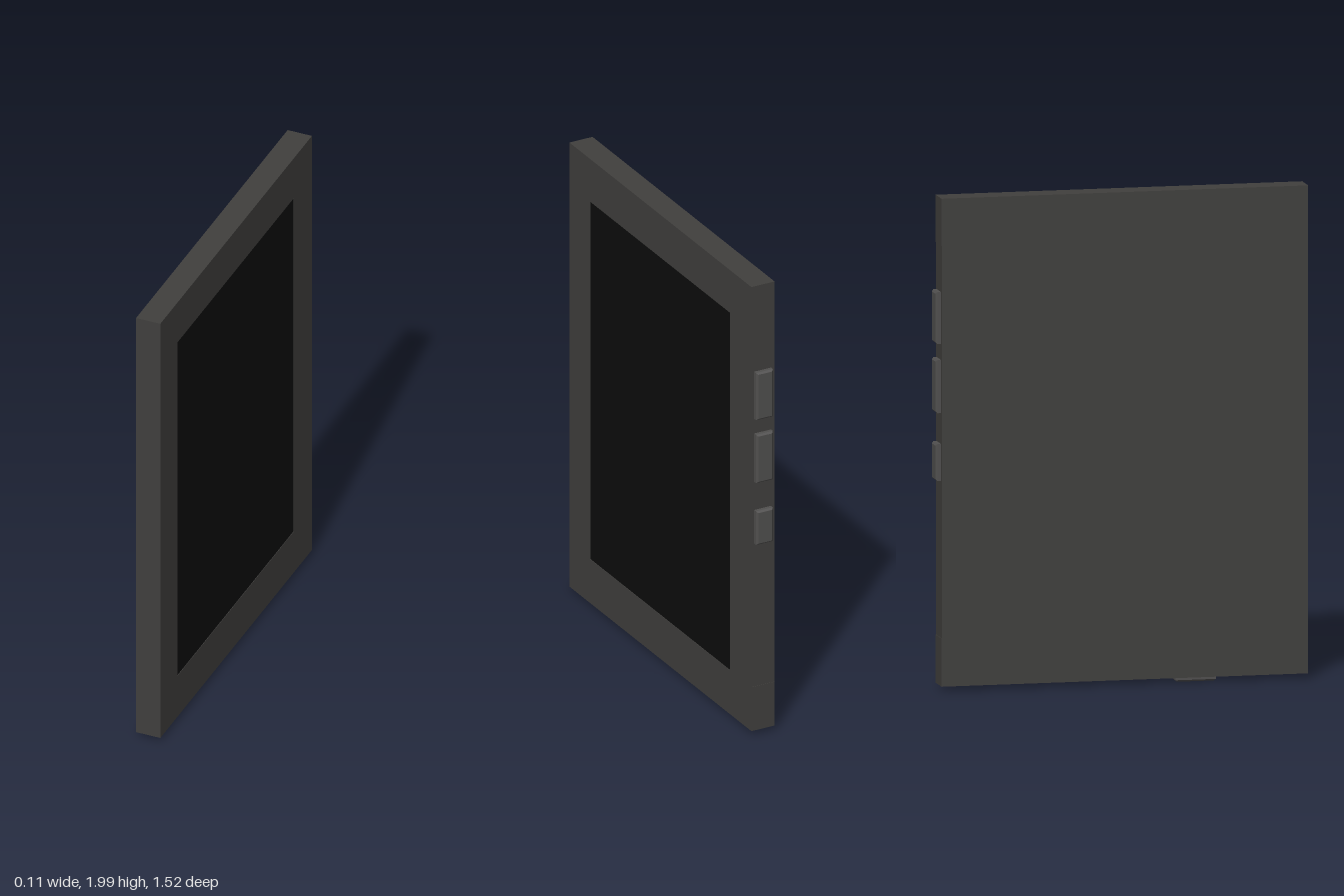
import * as THREE from 'three';

const bodyMat = new THREE.MeshStandardMaterial({ color: 0x403f3d });
const buttonMat = new THREE.MeshStandardMaterial({ color: 0x504f4e });
const screenMat = new THREE.MeshStandardMaterial({ color: 0x0d0d0d });

// Box given by its limits on each axis
function box(name, material, [x0, x1], [y0, y1], [z0, z1]) {
  const mesh = new THREE.Mesh(new THREE.BoxGeometry(x1 - x0, y1 - y0, z1 - z0), material);
  mesh.position.set((x0 + x1) / 2, (y0 + y1) / 2, (z0 + z1) / 2);
  mesh.name = name;
  return mesh;
}

// Raised key with a chamfered rim, rising along +z from its base
function key(name, width, length, rise) {
  const c = 0.007;
  const w = width / 2 - c, l = length / 2 - c;
  const shape = new THREE.Shape([
    new THREE.Vector2(-w, -l), new THREE.Vector2(w, -l),
    new THREE.Vector2(w, l), new THREE.Vector2(-w, l),
  ]);
  const geometry = new THREE.ExtrudeGeometry(shape, {
    depth: rise, bevelEnabled: true, bevelThickness: c, bevelSize: c, bevelSegments: 1,
  });
  geometry.translate(0, 0, -c);
  const mesh = new THREE.Mesh(geometry, buttonMat);
  mesh.name = name;
  return mesh;
}

export function createModel() {
  const model = new THREE.Group();
  model.name = 'tablet';

  const T = 0.053; // half thickness
  const recess = 0.049; // screen plane
  const low = 0.22, high = 1.81;
  const front = 0.765, back = -0.736;
  const screenZ = [-0.56, 0.595];

  // Casing: end caps, back shell and the two side bezels
  model.add(
    box('topCap', bodyMat, [-T, T], [high, 2], [back - 0.002, front]),
    box('bottomCap', bodyMat, [-T, T], [0.025, low], [back - 0.002, front]),
    box('backShell', bodyMat, [-T, recess - 0.003], [low, high], [back, front]),
    box('frontBezel', bodyMat, [recess - 0.003, T], [low, high], [screenZ[1], front]),
    box('rearBezel', bodyMat, [recess - 0.003, T], [low, high], [back, screenZ[0]]),
    box('screen', screenMat, [recess - 0.003, recess + 0.002], [low, high], screenZ),
  );

  // Keys along the rear edge
  [[1.41, 1.62], [1.13, 1.345], [0.855, 1.005]].forEach(([y0, y1], i) => {
    const button = key(`sideButton${i + 1}`, 0.077, y1 - y0, 0.022);
    button.rotation.y = Math.PI;
    button.position.set(0.001, (y0 + y1) / 2, back);
    model.add(button);
  });

  // Key under the bottom edge
  const bottomButton = key('bottomButton', 0.077, 0.165, 0.018);
  bottomButton.rotation.x = Math.PI / 2;
  bottomButton.position.set(-0.001, 0.025, 0.307);
  model.add(bottomButton);

  return model;
}
